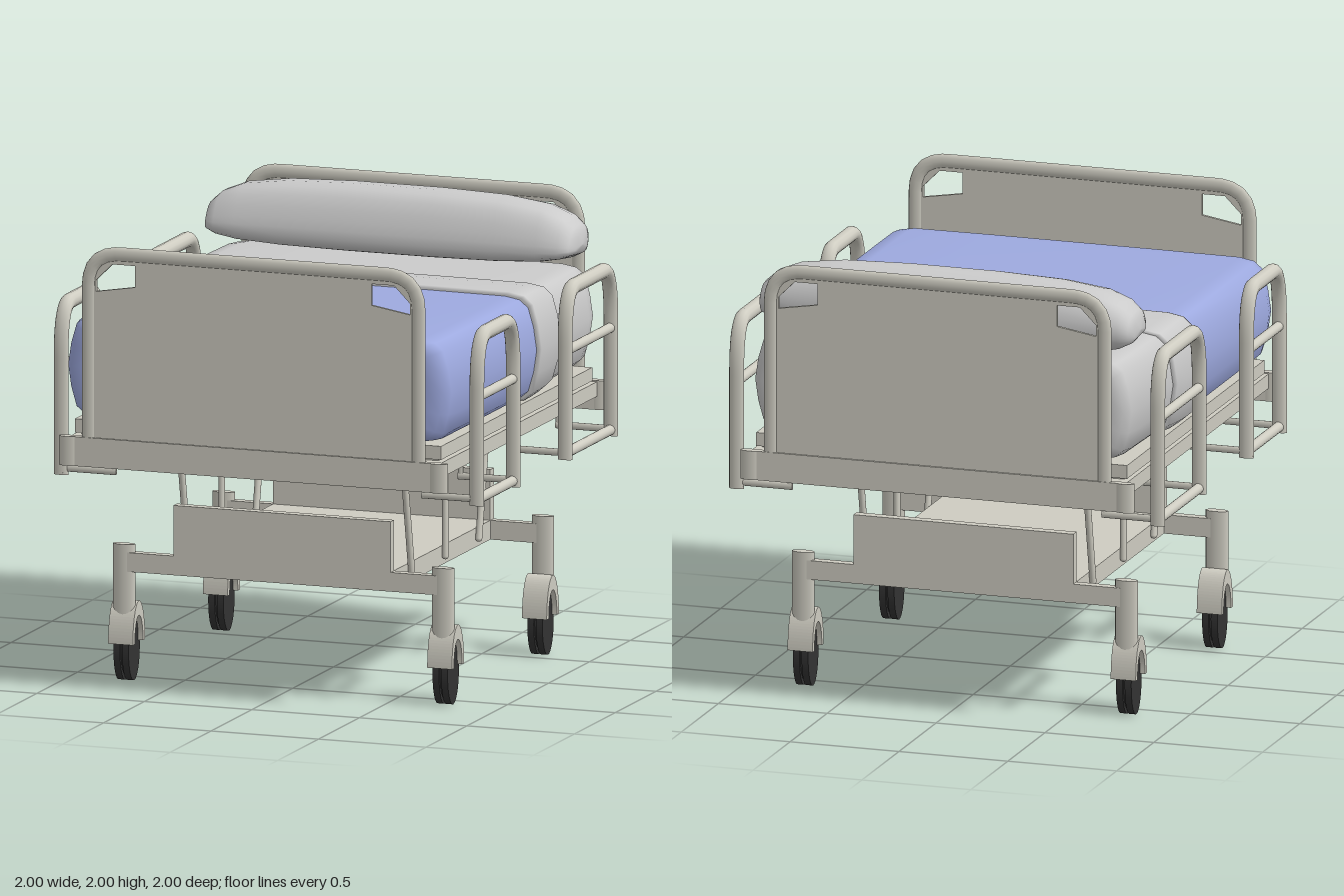
import * as THREE from 'three';

const K = 0.45; // round tubes are squashed along z by this factor
const mat = (color) => new THREE.MeshStandardMaterial({ color, side: THREE.DoubleSide });
const V = (x, y, z) => new THREE.Vector3(x, y, z);

export function createModel() {
  const model = new THREE.Group();
  const frameMat = mat(0xcfcdc2), linen = mat(0xcccccc), blue = mat(0x9eaae0), rubber = mat(0x333333);

  const add = (name, geo, material, parent = model) => {
    const mesh = new THREE.Mesh(geo, material);
    mesh.name = name;
    parent.add(mesh);
    return mesh;
  };
  // Box given by its min and max corners
  const box = (name, x0, x1, y0, y1, z0, z1, parent) => add(name,
    new THREE.BoxGeometry(x1 - x0, y1 - y0, z1 - z0).translate((x0 + x1) / 2, (y0 + y1) / 2, (z0 + z1) / 2),
    frameMat, parent);
  // Straight rod between two points; squash flattens its section along z
  const rod = (name, a, b, r, parent, squash = 1) => {
    const p = a.clone(), q = b.clone();
    p.z /= squash; q.z /= squash;
    const d = q.clone().sub(p);
    const geo = new THREE.CylinderGeometry(r, r, d.length(), 16);
    geo.applyQuaternion(new THREE.Quaternion().setFromUnitVectors(V(0, 1, 0), d.normalize()));
    geo.translate((p.x + q.x) / 2, (p.y + q.y) / 2, (p.z + q.z) / 2).scale(1, 1, squash);
    return add(name, geo, frameMat, parent);
  };
  // Tube along a polyline whose corners are rounded off
  const bentTube = (name, points, bend, r, parent) => {
    const p = points.map((v) => V(v.x, v.y, v.z / K));
    const path = new THREE.CurvePath();
    let from = p[0];
    for (let i = 1; i < p.length - 1; i++) {
      const a = p[i].clone().add(p[i - 1].clone().sub(p[i]).setLength(bend));
      const b = p[i].clone().add(p[i + 1].clone().sub(p[i]).setLength(bend));
      path.add(new THREE.LineCurve3(from, a));
      path.add(new THREE.QuadraticBezierCurve3(a, p[i], b));
      from = b;
    }
    path.add(new THREE.LineCurve3(from, p[p.length - 1]));
    return add(name, new THREE.TubeGeometry(path, 72, r, 12).scale(1, 1, K), frameMat, parent);
  };
  // Closed soft body: profile around a centre, scaled at stations [z, scaleX, scaleY]
  const loft = (profile, cx, cy, stations) => {
    const n = profile.length, pos = [], idx = [];
    for (const [z, sx, sy] of stations) {
      for (const [u, v] of profile) pos.push(cx + (u - cx) * sx, cy + (v - cy) * sy, z);
    }
    for (let i = 0; i < stations.length - 1; i++) {
      for (let j = 0; j < n; j++) {
        const a = i * n + j, b = i * n + (j + 1) % n;
        idx.push(a, b, b + n, a, b + n, a + n);
      }
    }
    const geo = new THREE.BufferGeometry();
    geo.setAttribute('position', new THREE.Float32BufferAttribute(pos, 3));
    geo.setIndex(idx);
    geo.computeVertexNormals();
    return geo;
  };

  // Casters: squashed twin wheels under an arched fender, with a post above
  const fender = new THREE.Shape();
  fender.moveTo(0.075, 0.17);
  fender.absellipse(0, 0.17, 0.075, 0.185, 0, Math.PI, false);
  fender.lineTo(-0.05, 0.17);
  fender.absellipse(0, 0.17, 0.05, 0.12, Math.PI, 0, true);
  fender.closePath();
  for (const sx of [-1, 1]) {
    for (const sz of [-1, 1]) {
      const caster = new THREE.Group();
      caster.name = 'caster';
      caster.position.set(sx * 0.742, 0, sz * 0.58);
      model.add(caster);
      for (const [x, w, r] of [[-0.02, 0.03, 0.145], [0.02, 0.03, 0.145], [0, 0.03, 0.12]]) {
        add('wheel', new THREE.CylinderGeometry(r, r, w, 32).rotateZ(Math.PI / 2)
          .scale(1, 1, 0.48).translate(x, 0.145, 0), rubber, caster);
      }
      add('fender', new THREE.ExtrudeGeometry(fender, { depth: 0.115, bevelEnabled: false, curveSegments: 20 })
        .translate(0, 0, -0.0575).rotateY(Math.PI / 2), frameMat, caster);
      rod('casterPost', V(0, 0.29, sz * 0.03), V(0, 0.61, sz * 0.03), 0.052, caster, K);
    }
  }

  // Undercarriage
  box('basePlate', -0.505, 0.505, 0.49, 0.575, -0.59, 0.59);
  for (const s of [-1, 1]) {
    const z = s * 0.61;
    box('crossBar', -0.72, 0.72, 0.49, 0.575, z - 0.021, z + 0.021);
    box('endPlate', -0.505, 0.505, 0.57, 0.8, z - 0.022, z + 0.022);
    for (const [top, foot] of [[-0.525, -0.41], [0, 0], [0.525, 0.41]]) {
      rod('supportLeg', V(s * 0.52, 0.53, foot), V(s * 0.52, 1.1, top), 0.015);
      add('legFoot', new THREE.SphereGeometry(0.015, 12, 8).translate(s * 0.52, 0.53, foot), frameMat);
    }
  }

  // Bed deck
  box('deckFrame', -0.86, 0.86, 1.08, 1.145, -0.965, 0.965);
  box('deckCore', -0.83, 0.83, 1.14, 1.16, -0.9, 0.9);
  box('mattressTray', -0.852, 0.852, 1.155, 1.215, -0.925, 0.925);

  // Head and foot boards
  const panel = new THREE.Shape();
  panel.moveTo(-0.77, 1.14);
  panel.lineTo(0.77, 1.14);
  panel.lineTo(0.77, 1.84);
  panel.quadraticCurveTo(0.77, 1.97, 0.64, 1.97);
  panel.lineTo(-0.64, 1.97);
  panel.quadraticCurveTo(-0.77, 1.97, -0.77, 1.84);
  panel.closePath();
  for (const s of [-1, 1]) {
    panel.holes.push(new THREE.Path([[0.73, 1.8], [0.55, 1.83], [0.55, 1.925], [0.655, 1.925], [0.73, 1.85]]
      .map(([x, y]) => new THREE.Vector2(s * x, y))));
  }
  for (const s of [-1, 1]) {
    const board = new THREE.Group();
    board.name = s > 0 ? 'footboard' : 'headboard';
    model.add(board);
    const z = s * 0.977;
    add('boardPanel', new THREE.ExtrudeGeometry(panel, { depth: 0.014, bevelEnabled: false })
      .translate(0, 0, z - 0.007), frameMat, board);
    bentTube('boardTube', [V(-0.767, 1.14, z), V(-0.767, 1.97, z), V(0.767, 1.97, z), V(0.767, 1.14, z)], 0.15, 0.032, board);
    box('endRail', -0.86, 0.86, 1.02, 1.15, z - 0.016, z + 0.016, board);
    for (const sx of [-1, 1]) rod('railEnd', V(sx * 0.86, 1.02, s * 0.98), V(sx * 0.86, 1.15, s * 0.98), 0.045, board, K);
  }

  // Side guards, each with an arch, two bars and two brackets
  for (const sx of [-1, 1]) {
    for (const [z0, z1] of [[0.345, 0.79], [-0.85, -0.29]]) {
      const guard = new THREE.Group();
      guard.name = 'sideGuard';
      model.add(guard);
      const x = sx * 0.967;
      bentTube('guardArch', [V(x, 0.94, z0), V(x, 1.685, z0), V(x, 1.685, z1), V(x, 0.94, z1)], 0.23, 0.034, guard);
      rod('middleBar', V(x, 1.415, z0), V(x, 1.415, z1), 0.022, guard);
      rod('lowerBar', V(x, 0.962, z0), V(x, 0.962, z1), 0.023, guard);
      for (const z of [z0, z1]) {
        rod('postCap', V(x, 0.935, z), V(x, 0.945, z), 0.034, guard, K);
        rod('bracketArm', V(x, 0.965, z), V(sx * 0.71, 0.965, z), 0.016, guard, K);
        rod('bracketPost', V(sx * 0.722, 0.955, z), V(sx * 0.722, 1.1, z), 0.013, guard, K);
      }
    }
  }

  // Bedding: one rounded cross-section shared by mattress, blanket and fold
  const q = [[0.91, 1.45], [0.895, 1.55], [0.87, 1.635], [0.83, 1.668], [0.76, 1.68], [0.4, 1.682]];
  const right = [...q.slice(1).reverse().map(([x, y]) => [x, 2.9 - y]), ...q];
  const section = [...right, ...right.map(([x, y]) => [-x, y]).reverse()];
  add('mattress', loft(section, 0, 1.45, [[-0.945, 0, 0], [-0.945, 0.86, 0.72], [-0.935, 0.92, 0.86], [-0.9, 0.95, 0.96],
    [-0.82, 0.965, 0.98], [-0.4, 0.98, 0.985], [0, 0.98, 0.985], [0, 0, 0]]), linen);
  add('blanket', loft(section, 0, 1.45, [[-0.15, 0, 0], [-0.15, 0.99, 0.99], [-0.1, 0.995, 1], [0.5, 0.995, 1], [0.84, 0.993, 1],
    [0.9, 0.98, 0.985], [0.935, 0.95, 0.93], [0.95, 0.88, 0.8], [0.952, 0, 0]]), blue);
  add('foldedSheet', loft(section, 0, 1.45, [[-0.42, 0, 0], [-0.42, 0.985, 0.99], [-0.4, 0.995, 1.01], [-0.3, 1.005, 1.05],
    [-0.2, 1.01, 1.06], [-0.13, 1.01, 1.06], [-0.105, 1.002, 1.03], [-0.105, 0, 0]]), linen);

  // Pillow: rounded section carried across the bed
  const pillowCurve = new THREE.CatmullRomCurve3([[0.73, 1.695], [0.89, 1.685], [0.93, 1.77], [0.92, 1.89],
    [0.86, 1.975], [0.7, 1.975], [0.625, 1.84], [0.62, 1.73]].map(([u, v]) => V(u, v, 0)), true);
  const pillowSection = pillowCurve.getPoints(24).slice(0, 24).map((p) => [p.x, p.y]);
  const half = [[0.865, 0, 0], [0.86, 0.5, 0.25], [0.845, 0.78, 0.42], [0.8, 0.93, 0.62], [0.7, 0.98, 0.82], [0.5, 1, 0.95], [0.2, 1, 1]];
  const stations = [...half.map(([x, a, b]) => [-x, a, b]), ...half.slice().reverse()];
  add('pillow', loft(pillowSection, 0.775, 1.79, stations).rotateY(Math.PI / 2), linen);

  return model;
}
